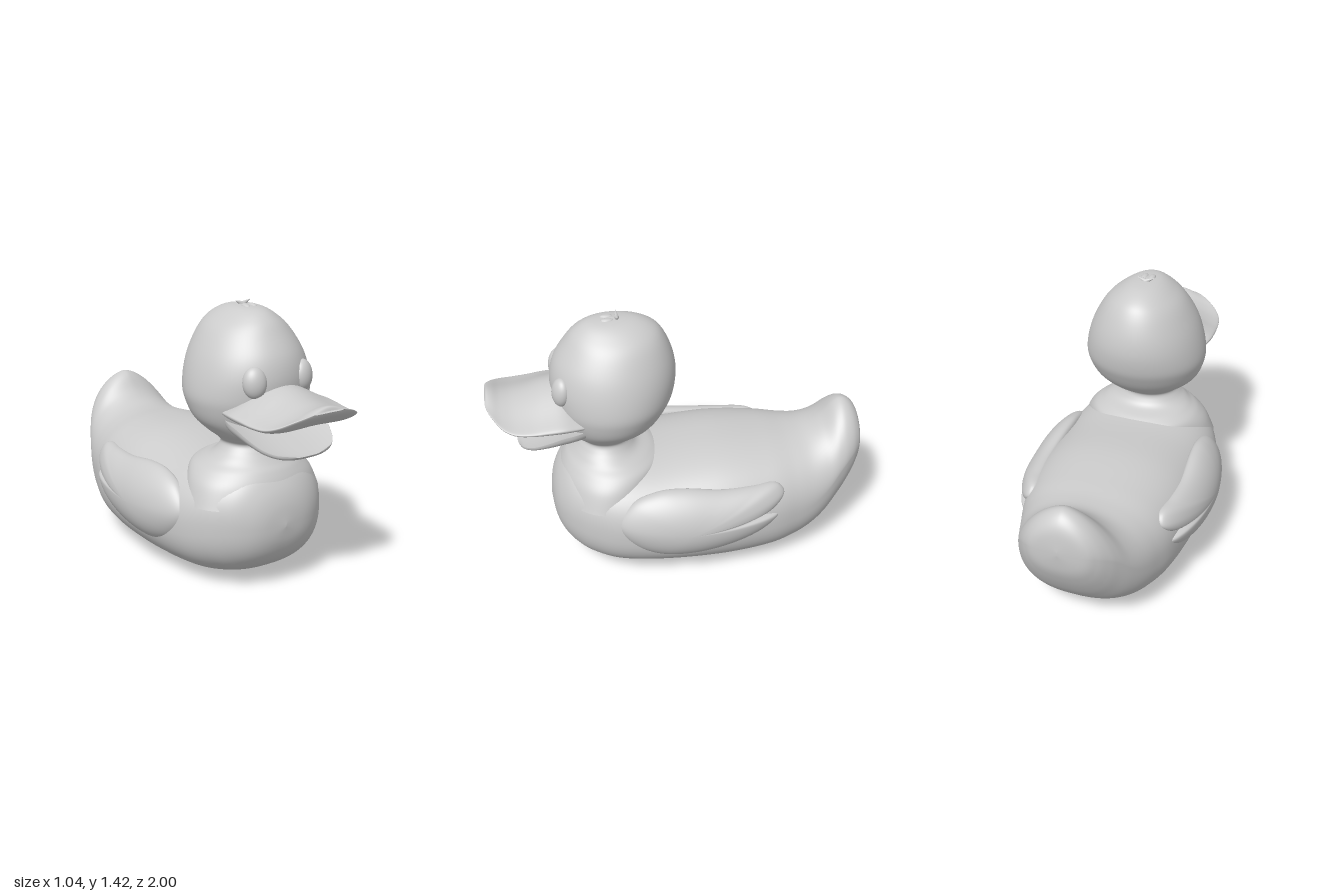
import * as THREE from 'three';

const material = new THREE.MeshStandardMaterial({ color: 0xcccccc, side: THREE.DoubleSide });

// Catmull-Rom blend of rows of numbers, t from 0 to 1
function blend(keys, t) {
  const n = keys.length - 1;
  const i = Math.min(Math.floor(t * n), n - 1), f = t * n - i;
  const at = k => keys[Math.max(0, Math.min(n, k))];
  const [a, b, c, d] = [at(i - 1), at(i), at(i + 1), at(i + 2)];
  return b.map((_, k) => 0.5 * (2 * b[k] + (c[k] - a[k]) * f +
    (2 * a[k] - 5 * b[k] + 4 * c[k] - d[k]) * f * f +
    (3 * b[k] - a[k] - 3 * c[k] + d[k]) * f * f * f));
}

// Closed-ring surface: point(u, v) with u along and v around
function surface(nu, nv, point) {
  const pos = [], idx = [];
  for (let i = 0; i <= nu; i++)
    for (let j = 0; j < nv; j++) pos.push(...point(i / nu, j / nv));
  for (let i = 0; i < nu; i++)
    for (let j = 0; j < nv; j++) {
      const k = (j + 1) % nv, a = i * nv + j, b = i * nv + k, c = a + nv, d = b + nv;
      idx.push(a, b, c, b, d, c);
    }
  const g = new THREE.BufferGeometry();
  g.setAttribute('position', new THREE.Float32BufferAttribute(pos, 3));
  g.setIndex(idx);
  g.computeVertexNormals();
  return g;
}

const loft = (keys, nu, nv, section) => surface(nu, nv, (u, v) =>
  section(blend(keys, u), Math.cos(v * 2 * Math.PI), Math.sin(v * 2 * Math.PI)));
const power = (s, e) => Math.sign(s) * Math.pow(Math.abs(s), e);

export function createModel() {
  const model = new THREE.Group();
  const add = (name, geometry) => {
    const mesh = new THREE.Mesh(geometry, material);
    mesh.name = name;
    model.add(mesh);
    return mesh;
  };

  // Body with upturned tail: z, bottom, top, half width, roundness of the upper half
  const body = [
    [-1, 0.59, 0.61, 0, 1.9], [-0.985, 0.48, 0.715, 0.13, 1.8], [-0.95, 0.39, 0.775, 0.19, 1.7],
    [-0.9, 0.3, 0.802, 0.235, 1.6], [-0.85, 0.23, 0.782, 0.267, 1.6], [-0.78, 0.15, 0.705, 0.305, 1.75],
    [-0.7, 0.09, 0.653, 0.34, 2], [-0.6, 0.045, 0.64, 0.375, 2.2], [-0.45, 0.015, 0.65, 0.42, 2.3],
    [-0.2, 0.005, 0.66, 0.455, 2.3], [0.1, 0.012, 0.64, 0.455, 2.3], [0.35, 0.028, 0.645, 0.425, 2.3],
    [0.5, 0.065, 0.645, 0.365, 2.3], [0.59, 0.115, 0.62, 0.295, 2.2], [0.65, 0.18, 0.55, 0.215, 2.1],
    [0.685, 0.26, 0.465, 0.125, 2], [0.7, 0.35, 0.36, 0, 2]
  ];
  add('body', loft(body, 112, 80, ([z, bottom, top, w, n], c, s) => {
    const mid = bottom + 0.48 * (top - bottom), m = s > 0 ? n : 2.5;
    return [Math.max(w, 0) * power(c, 2 / m),
      mid + power(s, 2 / m) * (s > 0 ? top - mid : mid - bottom), z];
  }));

  // Neck and head: y, back z, front z, half width
  const head = [
    [0.45, 0.15, 0.67, 0.38], [0.55, 0.12, 0.645, 0.345], [0.61, 0.1, 0.615, 0.3],
    [0.645, 0.145, 0.585, 0.25], [0.67, 0.215, 0.565, 0.215], [0.7, 0.245, 0.545, 0.182],
    [0.735, 0.255, 0.53, 0.163], [0.765, 0.22, 0.565, 0.185], [0.8, 0.166, 0.595, 0.228],
    [0.86, 0.105, 0.62, 0.285], [0.93, 0.06, 0.645, 0.315], [1, 0.03, 0.66, 0.325],
    [1.1, 0.016, 0.665, 0.307], [1.2, 0.03, 0.64, 0.27], [1.3, 0.07, 0.577, 0.21],
    [1.36, 0.12, 0.525, 0.145], [1.4, 0.21, 0.455, 0.075], [1.412, 0.33, 0.34, 0]
  ];
  add('neckAndHead', loft(head, 112, 72, ([y, back, front, w], c, s) =>
    [Math.max(w, 0) * c, y, (back + front) / 2 - s * (front - back) / 2]));

  // Upper bill, arched in the middle with rounded lips: z, bottom, top, half width
  const upperBill = [
    [0.45, 0.89, 1.0, 0.24], [0.55, 0.885, 1.05, 0.275], [0.62, 0.885, 1.07, 0.292],
    [0.7, 0.885, 1.06, 0.292], [0.78, 0.89, 1.033, 0.286], [0.86, 0.9, 1.02, 0.272],
    [0.92, 0.925, 1.025, 0.238], [0.965, 0.962, 1.04, 0.18], [0.99, 0.99, 1.042, 0.13],
    [1, 1.015, 1.025, 0.09]
  ];
  add('upperBill', loft(upperBill, 56, 64, ([z, bottom, top, w], c, s) => {
    const d = top - bottom, edge = bottom + 0.33 * d, arch = 0.5 + 0.5 * Math.cos(Math.PI * c);
    const y = s > 0 ? edge + 0.22 * d * s + 0.45 * d * arch : edge + 0.33 * d * s + 0.15 * d * arch * -s;
    return [w * c, y, z];
  }));

  // Lower bill, a shallow scoop: z, bottom, rim, half width
  const lowerBill = [
    [0.45, 0.81, 0.9, 0.22], [0.55, 0.8, 0.895, 0.258], [0.62, 0.785, 0.88, 0.258],
    [0.7, 0.77, 0.845, 0.242], [0.77, 0.757, 0.812, 0.215], [0.82, 0.75, 0.79, 0.172],
    [0.845, 0.752, 0.78, 0.12], [0.855, 0.765, 0.77, 0.07]
  ];
  add('lowerBill', loft(lowerBill, 40, 56, ([z, bottom, rim, w], c, s) => {
    const d = rim - bottom;
    return [w * power(c, 0.8), s > 0 ? rim - 0.4 * d * s * s : rim + d * power(s, 0.8), z];
  }));

  // Wing outline (z, y), front edge over the top to the two feather tips and back
  const outline = [
    [0.375, 0.39], [0.3, 0.51], [0.166, 0.565], [0.03, 0.573], [-0.18, 0.548], [-0.35, 0.542],
    [-0.475, 0.535], [-0.51, 0.487], [-0.46, 0.425], [-0.38, 0.398], [-0.48, 0.375],
    [-0.42, 0.31], [-0.26, 0.235], [-0.02, 0.18], [0.166, 0.19], [0.3, 0.267]
  ];
  const rim = new THREE.CatmullRomCurve3(outline.map(([z, y]) => new THREE.Vector3(0, y, z)), true);
  const wing = side => surface(48, 128, (u, v) => {
    // u runs from the outer centre over the rim to the inner centre
    const a = u * Math.PI, r = Math.sin(a), p = rim.getPoint(side > 0 ? 1 - v : v);
    const z = p.z * r, y = 0.37 + (p.y - 0.37) * r;
    const base = 0.438 - 1.2 * (y - 0.35) ** 2 - 0.25 * (z + 0.05) ** 2;
    return [side * (base + 0.085 * power(Math.cos(a), 0.9)), y, z];
  });

  for (const side of [1, -1]) {
    const label = side > 0 ? 'left' : 'right';
    add(label + 'Wing', wing(side));

    // Oval eye bulge
    const eye = add(label + 'Eye', new THREE.SphereGeometry(1, 32, 24));
    eye.scale.set(0.06, 0.078, 0.045);
    eye.position.set(side * 0.145, 1.09, 0.615);
    eye.rotation.set(-0.12, side * 0.4, 0);

    // Small feather tuft on the crown
    const tip = add(label + 'TuftTip', new THREE.ConeGeometry(0.014, 0.05, 12));
    tip.position.set(side * 0.024, 1.417, 0.31);
    tip.rotation.z = -side * 1.15;
    const curl = add(label + 'TuftBase', new THREE.SphereGeometry(1, 16, 12));
    curl.scale.set(0.018, 0.012, 0.035);
    curl.position.set(side * 0.02, 1.405, 0.36);
  }
  return model;
}
